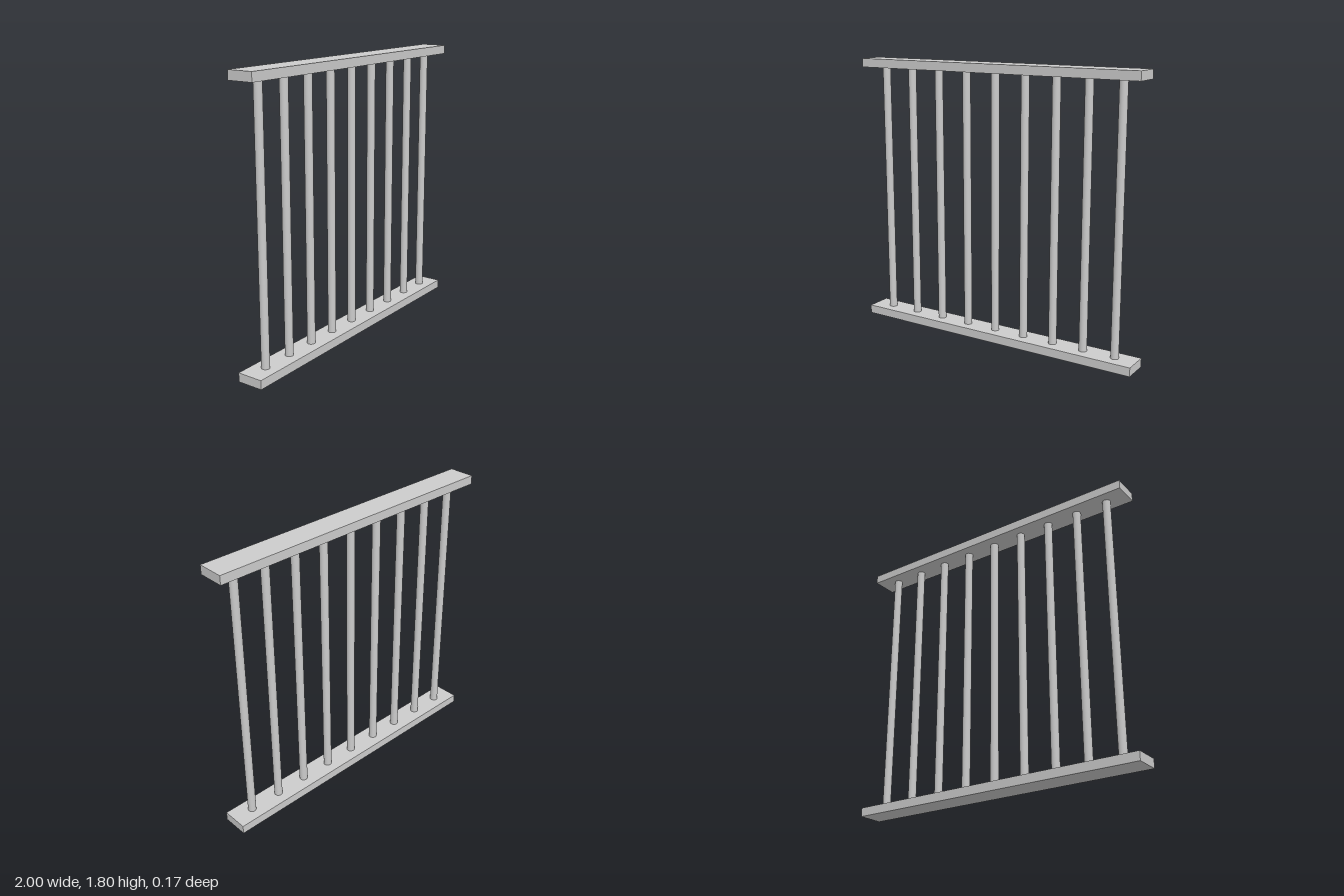
import * as THREE from 'three';

const HEIGHT = 1.797, RAIL_H = 0.057, RAIL_D = 0.17;
const BARS = 9, SPACING = 0.2153, BAR_R = 0.026;

export function createModel() {
  const group = new THREE.Group();
  group.name = 'railing';
  const material = new THREE.MeshStandardMaterial({ color: 0xcccccc });

  const add = (name, geometry, x, y) => {
    const mesh = new THREE.Mesh(geometry, material);
    mesh.name = name;
    mesh.position.set(x, y, 0);
    group.add(mesh);
  };

  // Flat rails at the bottom and top
  const rail = new THREE.BoxGeometry(2, RAIL_H, RAIL_D);
  add('bottomRail', rail, 0, RAIL_H / 2);
  add('topRail', rail, 0, HEIGHT - RAIL_H / 2);

  // Evenly spaced round bars between the rails
  const bar = new THREE.CylinderGeometry(BAR_R, BAR_R, HEIGHT - 2 * RAIL_H, 24);
  for (let i = 0; i < BARS; i++) {
    add(`bar${i + 1}`, bar, (i - (BARS - 1) / 2) * SPACING, HEIGHT / 2);
  }

  return group;
}
